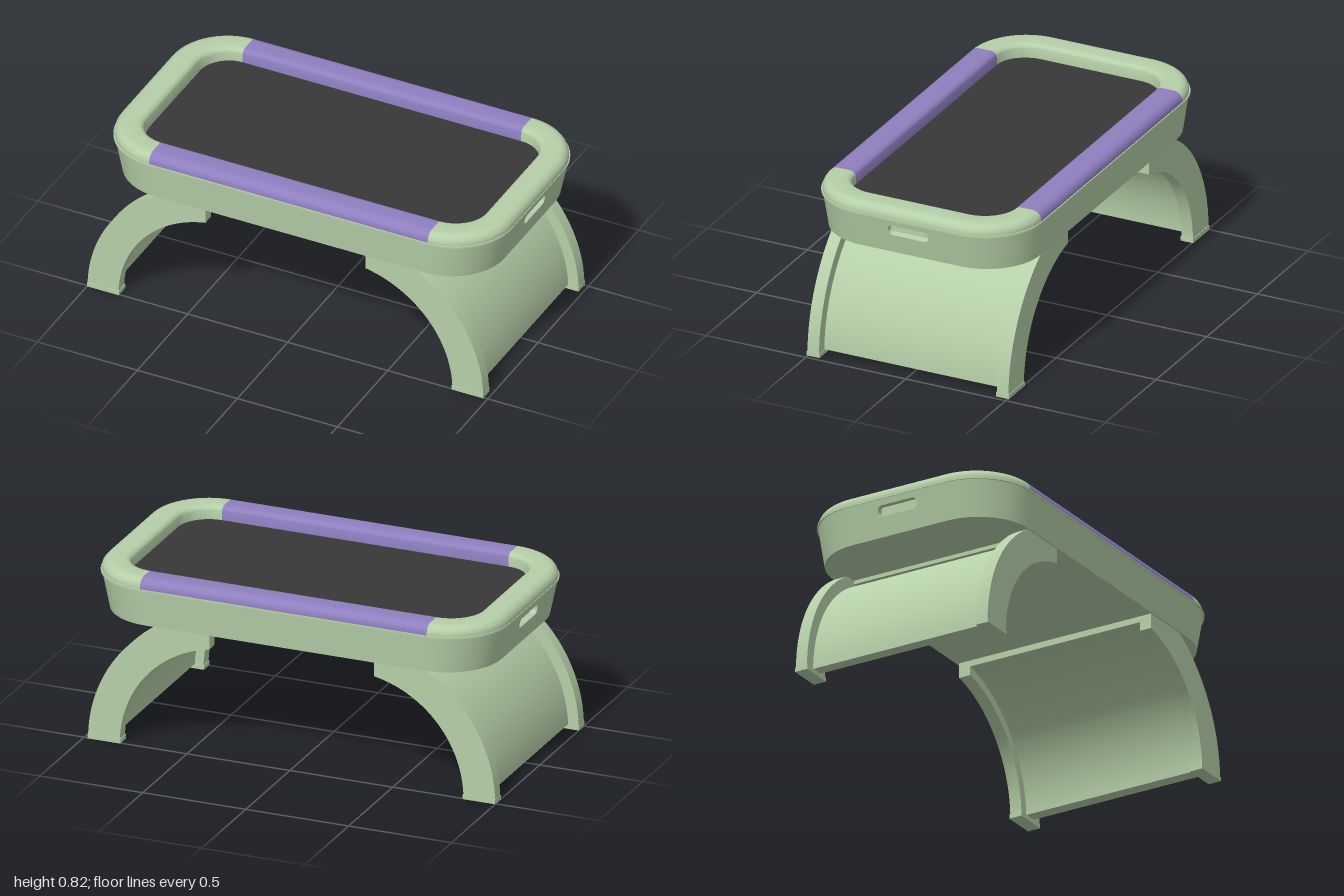
import * as THREE from 'three';
import { toCreasedNormals } from 'three/addons/utils/BufferGeometryUtils.js';

const GREEN = new THREE.MeshStandardMaterial({ color: 0xb5cfa8, side: THREE.DoubleSide });
const PURPLE = new THREE.MeshStandardMaterial({ color: 0x8f7fc0, side: THREE.DoubleSide });
const DARK = new THREE.MeshStandardMaterial({ color: 0x383838 });

const HX = 0.9775, HZ = 0.531, R = 0.281;   // outer plan of the table top
const BASE = 0.593, SEAM = 0.77;            // underside and rim seam heights

function add(parent, name, geometry, material = GREEN) {
  const mesh = new THREE.Mesh(toCreasedNormals(geometry, 0.5), material);
  mesh.name = name;
  parent.add(mesh);
  return mesh;
}

// Points along the chosen corners (0..3) of a rounded rectangle
function plan(hx, hz, r, corners) {
  const pts = [];
  for (const k of corners) {
    const sx = k === 0 || k === 3 ? 1 : -1, sz = k < 2 ? 1 : -1;
    for (let i = 0; i <= 16; i++) {
      const a = (k + i / 16) * Math.PI / 2;
      pts.push(new THREE.Vector2(sx * (hx - r) + r * Math.cos(a), sz * (hz - r) + r * Math.sin(a)));
    }
  }
  return pts;
}

// Skin over plan curves stacked as levels [hx, hz, r, y]
function loft(levels, corners) {
  const pos = [], index = [];
  let n = 0;
  for (const [hx, hz, r, y] of levels) {
    const pts = plan(hx, hz, r, corners);
    n = pts.length;
    for (const p of pts) pos.push(p.x, y, p.y);
  }
  for (let j = 0; j < levels.length - 1; j++) {
    for (let i = 0; i < n - 1; i++) {
      const a = j * n + i, b = a + n;
      index.push(a, b, a + 1, a + 1, b, b + 1);
    }
  }
  const g = new THREE.BufferGeometry();
  g.setAttribute('position', new THREE.Float32BufferAttribute(pos, 3));
  g.setIndex(index);
  return g;
}

// Flat rounded slab whose top is at y
function slab(hx, hz, r, y, depth) {
  const shape = new THREE.Shape(plan(hx, hz, r, [0, 1, 2, 3]));
  return new THREE.ExtrudeGeometry(shape, { depth, bevelEnabled: false }).rotateX(Math.PI / 2).translate(0, y, 0);
}

// Rim section as [inset from outer edge, height]
function rimProfile() {
  const w = 0.133, top = 0.82, ro = 0.043, ri = 0.028, pts = [[0, SEAM - 0.005]];
  for (let i = 0; i <= 8; i++) {
    const a = i / 8 * Math.PI / 2;
    pts.push([ro - ro * Math.cos(a), top - ro + ro * Math.sin(a)]);
  }
  for (let i = 0; i <= 6; i++) {
    const a = i / 6 * Math.PI / 2;
    pts.push([w - ri + ri * Math.sin(a), top - ri + ri * Math.cos(a)]);
  }
  pts.push([w, 0.75], [0, SEAM - 0.005]);
  return pts;
}

// Quarter arch band extruded across z
function arch(ro, ri, y0, width) {
  const cx = -0.305, xe = -0.4, pts = [];
  const arc = (r, a0, a1) => {
    for (let i = 0; i <= 28; i++) {
      const a = a0 + (a1 - a0) * i / 28;
      pts.push(new THREE.Vector2(cx + r * Math.cos(a), r * Math.sin(a)));
    }
  };
  arc(ro, Math.PI - Math.asin(y0 / ro), Math.PI - Math.asin(BASE / ro));
  pts.push(new THREE.Vector2(xe, BASE));
  arc(ri, Math.acos((xe - cx) / ri), Math.PI - Math.asin(y0 / ri));
  return new THREE.ExtrudeGeometry(new THREE.Shape(pts), { depth: width, bevelEnabled: false })
    .translate(0, 0, -width / 2);
}

function createLeg() {
  const leg = new THREE.Group();
  for (const s of [1, -1]) {
    add(leg, 'legArch', arch(0.684, 0.53, 0, 0.058)).position.z = s * 0.474;
    add(leg, 'foot', new THREE.BoxGeometry(0.159, 0.021, 0.064)).position.set(-0.9105, 0.0105, s * 0.474);
  }
  add(leg, 'legPanel', arch(0.632, 0.572, 0.021, 0.9));
  add(leg, 'mountingStrip', new THREE.BoxGeometry(0.18, 0.018, 0.9)).position.set(-0.5, 0.584, 0);
  return leg;
}

// End wall of the tub with a rounded grip slot
function endWall() {
  const lean = Math.atan2(0.038, SEAM - BASE), h = Math.hypot(0.038, SEAM - BASE), half = HZ - R;
  const s = new THREE.Shape();
  s.moveTo(-half, 0).lineTo(half, 0).lineTo(half, h).lineTo(-half, h).closePath();
  const slot = new THREE.Path(), r = 0.022, lo = 0.094, hi = 0.146, w = 0.101;
  slot.moveTo(-w + r, lo).lineTo(w - r, lo);
  slot.absarc(w - r, lo + r, r, -Math.PI / 2, 0);
  slot.absarc(w - r, hi - r, r, 0, Math.PI / 2);
  slot.absarc(-w + r, hi - r, r, Math.PI / 2, Math.PI);
  slot.absarc(-w + r, lo + r, r, Math.PI, Math.PI * 1.5);
  s.holes.push(slot);
  return new THREE.ExtrudeGeometry(s, { depth: 0.03, bevelEnabled: false, curveSegments: 6 })
    .translate(0, 0, -0.03).rotateX(lean).rotateY(Math.PI / 2).translate(HX - 0.038, BASE, 0);
}

export function createModel() {
  const model = new THREE.Group();

  // Arched legs, one at each end
  for (const turn of [0, Math.PI]) {
    const leg = createLeg();
    leg.name = turn ? 'leftLeg' : 'rightLeg';
    leg.position.x = -0.01;
    leg.rotation.y = turn;
    model.add(leg);
  }

  const top = new THREE.Group();
  top.name = 'tableTop';
  top.position.set(0.0175, 0, -0.003);
  model.add(top);

  // Tapered tub, seam flange and dark surface
  const lower = [HX - 0.038, HZ - 0.018, R - 0.018];
  add(top, 'tubFloor', slab(...lower, BASE + 0.01, 0.01));
  add(top, 'seamFlange', loft([
    [HX, HZ, R, 0.764], [HX + 0.003, HZ + 0.005, R, 0.764], [HX + 0.003, HZ + 0.005, R, 0.772], [HX, HZ, R, 0.772],
  ], [0, 1, 2, 3, 0]));
  add(top, 'playSurface', slab(0.846, 0.402, 0.152, 0.757, 0.02), DARK).position.x = 0.0085;

  const profile = rimProfile();
  const section = new THREE.Shape(profile.map(([o, y]) => new THREE.Vector2(-HZ + o, y)));
  const length = 2 * (HX - R);
  for (const turn of [0, Math.PI]) {
    const half = new THREE.Group();
    half.name = turn ? 'backHalf' : 'frontHalf';
    half.rotation.y = turn;
    top.add(half);
    add(half, 'tubSide', loft([[...lower, BASE], [HX, HZ, R, SEAM]], [0, 1]));
    add(half, 'tubEnd', endWall());
    add(half, 'gripBacking', new THREE.BoxGeometry(0.01, 0.1, 0.26)).position.set(0.915, 0.7, 0);
    add(half, 'rimEnd', loft(profile.map(([o, y]) => [HX - o, HZ - o, R - o, y]), [3, 0]));
    // Coloured padded bar along the long side
    const bar = new THREE.ExtrudeGeometry(section, { depth: length, bevelEnabled: false })
      .translate(0, 0, -length / 2).rotateY(Math.PI / 2);
    add(half, 'rimBar', bar, PURPLE);
  }
  return model;
}
